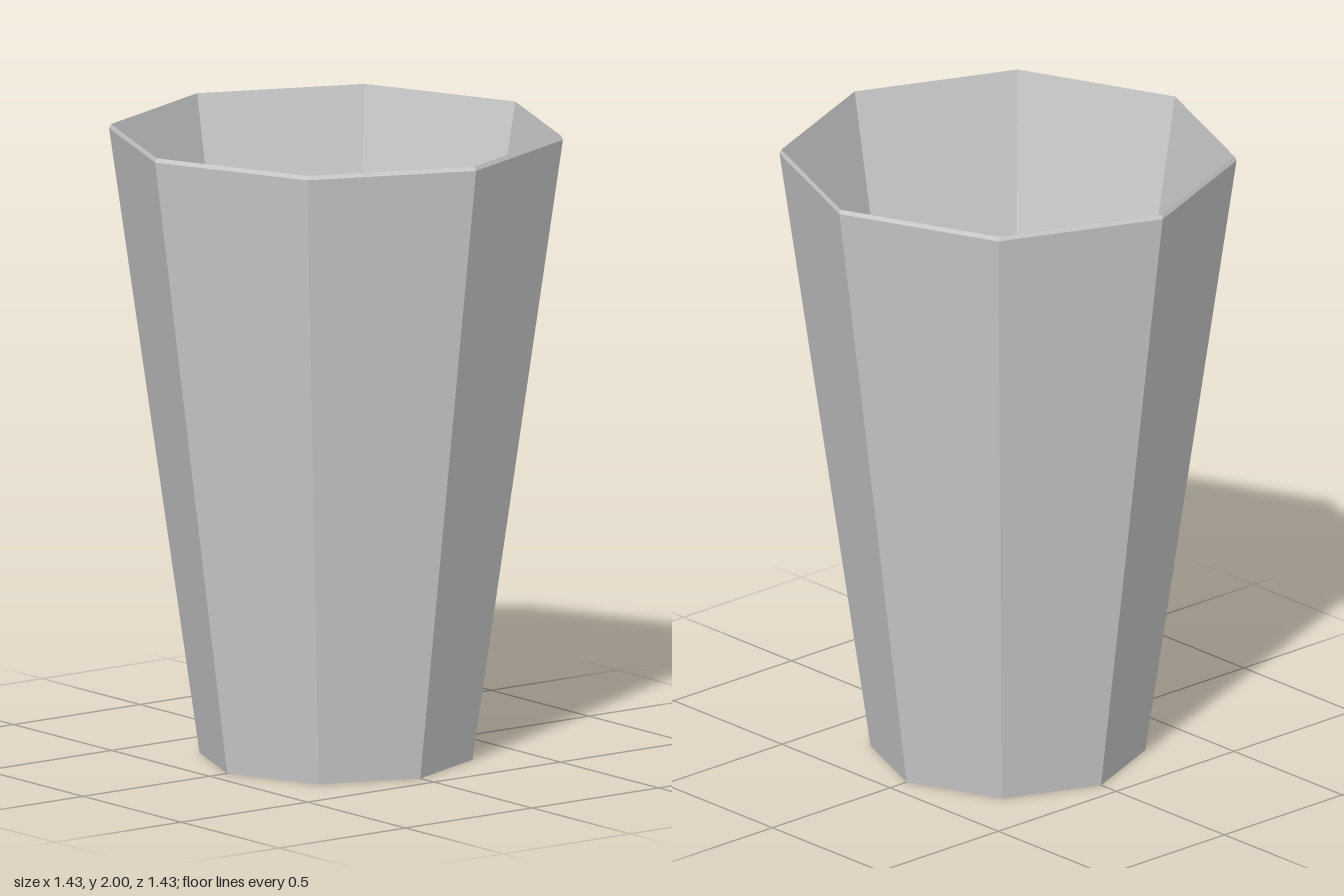
import * as THREE from 'three';

const SIDES = 8;

export function createModel() {
  const group = new THREE.Group();
  group.name = 'cup';
  const material = new THREE.MeshStandardMaterial({ color: 0xcccccc, flatShading: true });

  // Eight-sided tapered surface turned from a radius/height profile
  const addRing = (name, profile) => {
    const points = profile.map(([r, y]) => new THREE.Vector2(r, y));
    const mesh = new THREE.Mesh(new THREE.LatheGeometry(points, SIDES), material);
    mesh.name = name;
    group.add(mesh);
  };

  // Closed underside and outer wall
  addRing('outerWall', [[0, 0], [0.43, 0], [0.715, 1.987]]);
  // Thin bevelled lip
  addRing('rim', [[0.715, 1.987], [0.709, 2]]);
  // Hollow inside, thicker toward the bottom
  addRing('innerWall', [[0.709, 2], [0.375, 0.2]]);
  addRing('innerFloor', [[0.375, 0.2], [0, 0.2]]);

  return group;
}
